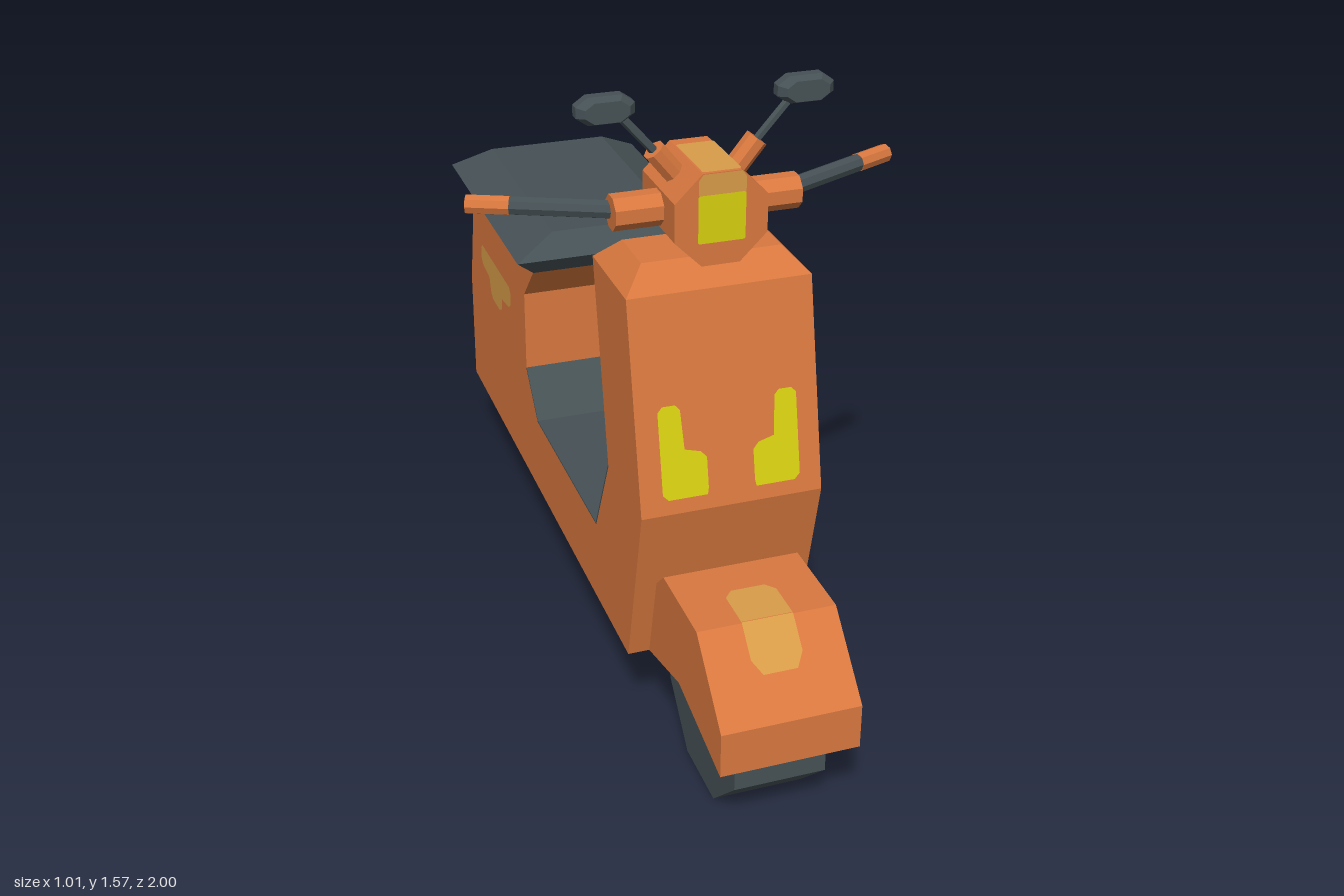
import * as THREE from 'three';
import { ConvexGeometry } from 'three/addons/geometries/ConvexGeometry.js';

const material = (name, color, side = THREE.FrontSide) => {
  const m = new THREE.MeshStandardMaterial({ color, side, flatShading: true });
  m.name = name;
  return m;
};

export function createModel() {
  const scooter = new THREE.Group();
  scooter.name = 'scooter';
  const orange = material('orange paint', 0xd9783f);
  const dark = material('dark rubber', 0x465155, THREE.DoubleSide);
  const yellow = material('yellow lamp', 0xd8d010, THREE.DoubleSide);
  const tan = material('amber trim', 0xd89c48, THREE.DoubleSide);
  const red = material('red lamp', 0xc60a12, THREE.DoubleSide);
  const blue = material('mirror glass', 0x4a8cb4, THREE.DoubleSide);

  const add = (name, geometry, mat) => {
    const mesh = new THREE.Mesh(geometry, mat);
    mesh.name = name;
    scooter.add(mesh);
    return mesh;
  };
  const shapeOf = (pts) => new THREE.Shape(pts.map(([a, b]) => new THREE.Vector2(a, b)));

  // Side profile of (z, y) points, extruded across x
  const sideSlab = (name, pts, half, mat) => {
    const g = new THREE.ExtrudeGeometry(shapeOf(pts), { depth: half * 2, bevelEnabled: false });
    g.rotateY(-Math.PI / 2).translate(half, 0, 0);
    return add(name, g, mat);
  };

  // Convex block through rectangles [y, halfX, zBack, zFront]
  const block = (name, layers, mat) => {
    const pts = [];
    for (const [y, hx, z0, z1] of layers)
      for (const x of [-hx, hx]) for (const z of [z0, z1]) pts.push(new THREE.Vector3(x, y, z));
    return add(name, new ConvexGeometry(pts), mat);
  };

  // Flat painted detail: 2D outline placed by a rule (u, v) -> [x, y, z]
  const patch = (name, pts, place, mat) => {
    const g = new THREE.ShapeGeometry(shapeOf(pts));
    const p = g.attributes.position;
    for (let i = 0; i < p.count; i++) p.setXYZ(i, ...place(p.getX(i), p.getY(i)));
    g.computeVertexNormals();
    return add(name, g, mat);
  };
  // Rectangle with clipped corners
  const rect = (u0, v0, u1, v1, c = 0.012) => [
    [u0 + c, v0], [u1 - c, v0], [u1, v0 + c], [u1, v1 - c],
    [u1 - c, v1], [u0 + c, v1], [u0, v1 - c], [u0, v0 + c]];

  // Straight rod between two points
  const rod = (name, a, b, r, mat, sides = 8) => {
    const va = new THREE.Vector3(...a), vb = new THREE.Vector3(...b);
    const dir = vb.clone().sub(va);
    const g = new THREE.CylinderGeometry(r, r, dir.length(), sides);
    g.rotateY(Math.PI / sides);
    g.applyQuaternion(new THREE.Quaternion().setFromUnitVectors(
      new THREE.Vector3(0, 1, 0), dir.normalize()));
    g.translate(...va.add(vb).multiplyScalar(0.5).toArray());
    return add(name, g, mat);
  };

  const E = 0.004; // lift of painted details

  // Body: leg shield, floor and tail in one slab
  sideSlab('body', [
    [0.52, 0.22], [0.62, 0.65], [0.515, 1.14], [0.27, 1.14], [0.375, 0.65], [0.27, 0.43],
    [-0.265, 0.43], [-0.37, 0.54], [-0.37, 0.76], [-0.265, 0.87], [-0.89, 0.87],
    [-0.945, 0.76], [-1, 0.54], [-1, 0.22]], 0.215, orange);
  block('shieldCap', [[1.14, 0.215, 0.27, 0.515], [1.195, 0.163, 0.325, 0.46]], orange);

  // Floor mat over the sloped and flat steps
  sideSlab('floorMat', [
    [0.375, 0.65], [0.27, 0.43], [-0.265, 0.43], [-0.37, 0.54],
    [-0.367, 0.544], [-0.263, 0.434], [0.267, 0.434], [0.371, 0.651]], 0.2155, dark);

  // Seat
  block('seat', [[0.867, 0.215, -0.89, -0.265], [0.922, 0.27, -0.945, -0.21],
    [0.975, 0.163, -0.895, -0.265]], dark);

  // Front fender
  sideSlab('frontFender', [
    [0.47, 0.215], [0.52, 0.22], [0.73, 0.275], [1, 0.22], [1, 0.33], [0.84, 0.488],
    [0.62, 0.488], [0.56, 0.43], [0.5, 0.43]], 0.163, orange);

  // Octagonal wheels
  for (const [name, z] of [['frontWheel', 0.73], ['rearWheel', -0.565]]) {
    const g = new THREE.CylinderGeometry(0.233, 0.233, 0.216, 8);
    g.rotateY(Math.PI / 8).rotateZ(Math.PI / 2).translate(0, 0.215, z);
    add(name, g, dark);
  }

  // Headlamp housing: octagonal prism narrowing at the back
  const headPts = [];
  for (const [z, r] of [[0.515, 0.115], [0.3, 0.115], [0.245, 0.066]])
    for (let i = 0; i < 8; i++) {
      const a = (i + 0.5) * Math.PI / 4;
      headPts.push(new THREE.Vector3(Math.cos(a) * r, 1.3 + Math.sin(a) * r, z));
    }
  add('headlampHousing', new ConvexGeometry(headPts), orange);
  patch('headlamp', rect(-0.054, 1.248, 0.054, 1.358, 0.003), (u, v) => [u, v, 0.515 + E], yellow);
  patch('headlampTrimFront', [[-0.054, 1.358], [0.054, 1.358], [0.054, 1.392], [0.044, 1.406],
    [-0.044, 1.406], [-0.054, 1.392]], (u, v) => [u, v, 0.515 + E], tan);
  patch('headlampTrimTop', rect(-0.044, 0.34, 0.044, 0.515, 0.004),
    (u, v) => [u, 1.406 + E, v], tan);

  // Mirrored parts
  for (const s of [-1, 1]) {
    const side = s > 0 ? 'left' : 'right';

    // Handlebar: socket, grip and end
    rod(side + 'BarSocket', [s * 0.09, 1.3, 0.41], [s * 0.215, 1.3, 0.41], 0.041, orange);
    rod(side + 'Grip', [s * 0.17, 1.3, 0.41], [s * 0.41, 1.3, 0.303], 0.021, dark);
    rod(side + 'GripEnd', [s * 0.41, 1.3, 0.303], [s * 0.498, 1.3, 0.264], 0.022, orange);

    // Mirror: socket, stem, shell and glass
    rod(side + 'MirrorSocket', [s * 0.06, 1.36, 0.41], [s * 0.118, 1.432, 0.41], 0.026, orange);
    rod(side + 'MirrorStem', [s * 0.1, 1.41, 0.41], [s * 0.195, 1.518, 0.41], 0.01, dark, 6);
    const outline = [[0.065, 0.012], [0.038, 0.031], [-0.038, 0.031], [-0.065, 0.012],
      [-0.065, -0.012], [-0.038, -0.031], [0.038, -0.031], [0.065, -0.012]];
    const shell = [];
    for (const [z, k] of [[0.392, 1], [0.415, 1], [0.434, 0.75]])
      for (const [x, y] of outline)
        shell.push(new THREE.Vector3(s * 0.226 + x * k, 1.534 + y * k, z));
    add(side + 'MirrorShell', new ConvexGeometry(shell), dark);
    patch(side + 'MirrorGlass', outline,
      (u, v) => [s * 0.226 - u * 0.94, 1.534 + v * 0.94, 0.392 - E], blue);

    // L-shaped lamps on the sloping leg shield
    patch(side + 'ShieldLamp', [
      [0.058, 0.685], [0.15, 0.685], [0.163, 0.698], [0.163, 0.885], [0.152, 0.897],
      [0.122, 0.897], [0.111, 0.885], [0.106, 0.795], [0.068, 0.785], [0.055, 0.77], [0.055, 0.7]],
      (u, v) => [s * u, v, 0.62 - (v - 0.65) * 0.2143 + E], yellow);

    // Tail side badge panel
    patch(side + 'SidePanel', [
      [-0.52, 0.715], [-0.825, 0.715], [-0.84, 0.7], [-0.84, 0.67], [-0.825, 0.655],
      [-0.75, 0.645], [-0.735, 0.605], [-0.715, 0.592], [-0.64, 0.592], [-0.615, 0.605],
      [-0.605, 0.64], [-0.53, 0.65], [-0.507, 0.668], [-0.507, 0.7]],
      (u, v) => [s * (0.215 + E), v, u], tan);

    // Rear indicators
    patch(side + 'Indicator', rect(0.122, 0.41, 0.17, 0.46),
      (u, v) => [s * u, v, -1 - E], yellow);
  }

  // Fender trim over the top and the front slope
  patch('fenderTrimTop', [[-0.06, 0.84], [-0.06, 0.745], [-0.04, 0.722], [0.04, 0.722],
    [0.06, 0.745], [0.06, 0.84]], (u, v) => [u, 0.488 + E, v], tan);
  patch('fenderTrimFront', [[-0.06, 0.84], [-0.06, 0.9], [-0.04, 0.925], [0.04, 0.925],
    [0.06, 0.9], [0.06, 0.84]], (u, v) => [u, 0.488 + E - (v - 0.84) * 0.9875, v + E * 0.5], tan);

  // Tail lamp: wide upper part on the slope, stem on the upright face
  patch('tailLampTop', [[-0.108, 0.54], [0.108, 0.54], [0.108, 0.625], [0.096, 0.637],
    [-0.096, 0.637], [-0.108, 0.625]], (u, v) => [u, v, -1 + (v - 0.54) * 0.25 - E], red);
  patch('tailLampStem', [[-0.1, 0.54], [-0.09, 0.525], [-0.05, 0.52], [-0.05, 0.435],
    [0.05, 0.435], [0.05, 0.52], [0.09, 0.525], [0.1, 0.54]], (u, v) => [u, v, -1 - E], red);

  return scooter;
}
